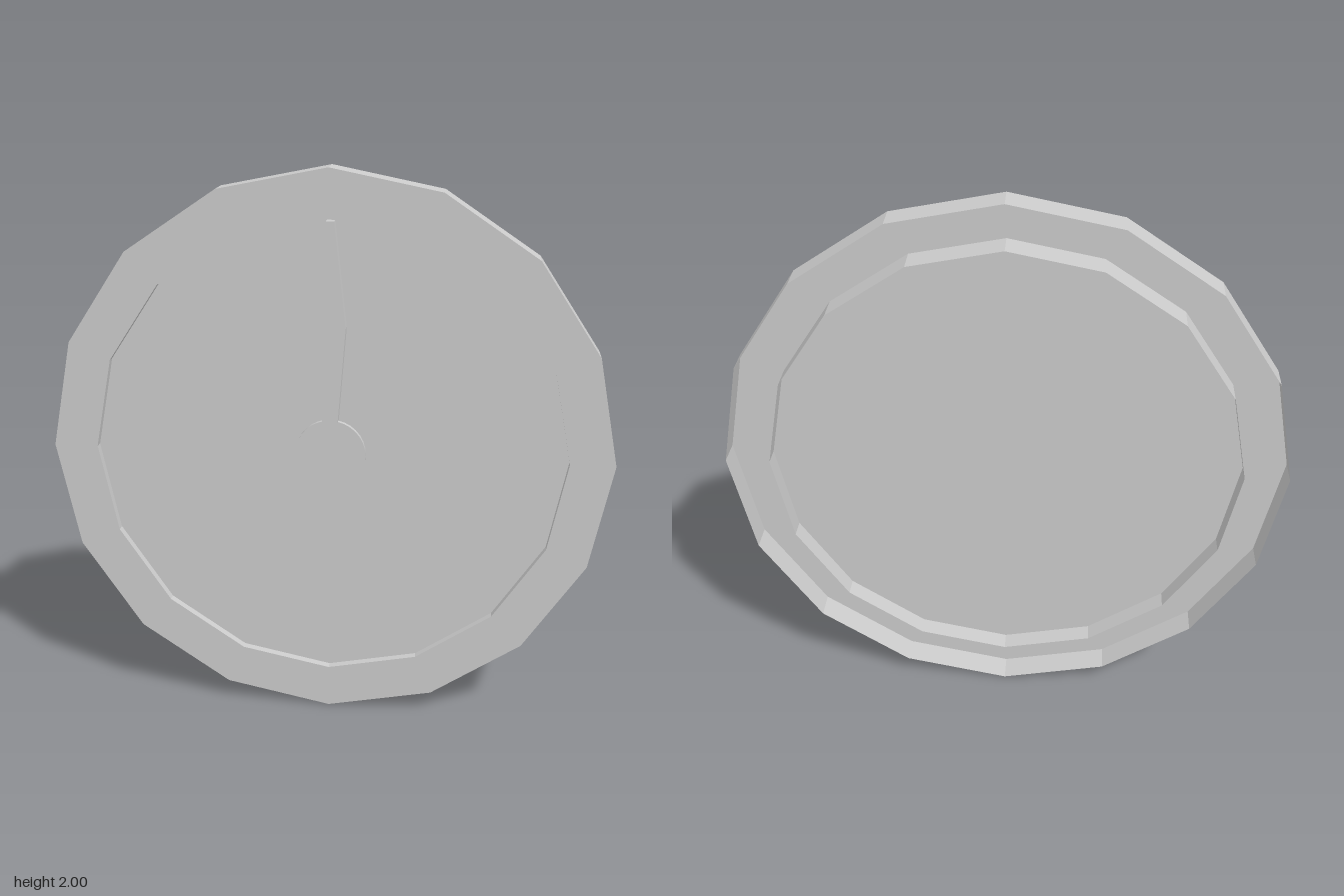
import * as THREE from 'three';

const SIDES = 16;
const RIM_INNER = 0.842;
const FRONT = 0.045, BACK = -0.055;
const DIAL_Z = 0.015;

const material = new THREE.MeshStandardMaterial({
  color: 0xcccccc, flatShading: true, side: THREE.DoubleSide,
});
const smooth = new THREE.MeshStandardMaterial({ color: 0xcccccc });

function addPart(group, name, geometry, mat = material) {
  const mesh = new THREE.Mesh(geometry, mat);
  mesh.name = name;
  group.add(mesh);
  return mesh;
}

export function createModel() {
  const group = new THREE.Group();
  group.name = 'gauge';

  // Rim: thin shell with outer wall, flat front and inner wall, open at the back
  const profile = [[1, BACK], [1, FRONT], [RIM_INNER, FRONT], [RIM_INNER, BACK]]
    .map(([r, h]) => new THREE.Vector2(r, h));
  const rim = new THREE.LatheGeometry(profile, SIDES).rotateX(Math.PI / 2).toNonIndexed();
  rim.computeVertexNormals();
  addPart(group, 'rim', rim).position.y = 1;

  // Dial: flat plate set back inside the rim
  addPart(group, 'dial', new THREE.CircleGeometry(RIM_INNER, SIDES)).position.set(0, 1, DIAL_Z);

  // Hub: low round disc in the middle
  const hub = new THREE.CylinderGeometry(0.125, 0.125, 0.018, 32).rotateX(Math.PI / 2);
  addPart(group, 'hub', hub, smooth).position.set(0.005, 1, DIAL_Z + 0.011);

  // Hand: tapered pointer, widest near its middle
  const half = [[0.027, 1.125], [0.054, 1.46], [0.014, 1.825]];
  const outline = [...half, ...half.map(([x, y]) => [-x, y]).reverse()]
    .map(([x, y]) => new THREE.Vector2(x, y));
  const hand = new THREE.ExtrudeGeometry(new THREE.Shape(outline), {
    depth: 0.038, bevelEnabled: false,
  });
  addPart(group, 'hand', hand).position.set(0.006, 0, DIAL_Z + 0.002);

  return group;
}
